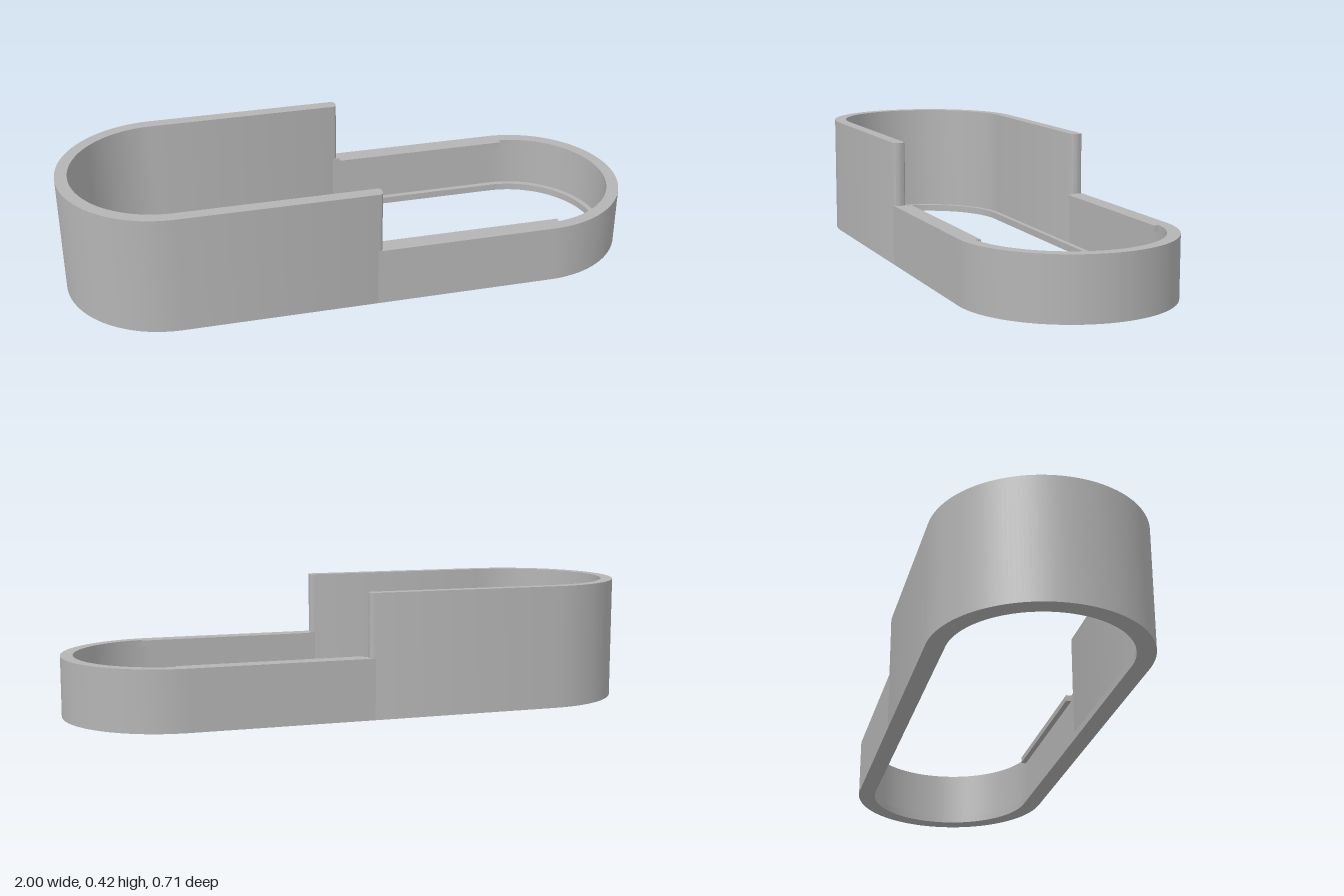
import * as THREE from 'three';
import { toCreasedNormals } from 'three/addons/utils/BufferGeometryUtils.js';

const CX = 0.644;      // centre of each rounded end
const OUTER = 0.356;   // outer radius
const WALL = 0.314;    // inner radius of the wall
const LIP = 0.295;     // inner radius of the ledge and rails
const HIGH = 0.424, LOW = 0.207;

// Extrude a plan shape upwards from y = 0, smooth round the bends
function raise(shape, height) {
  const geo = new THREE.ExtrudeGeometry(shape, { depth: height, bevelEnabled: false, curveSegments: 40 });
  geo.rotateX(-Math.PI / 2);
  return toCreasedNormals(geo, 0.5);
}

// U-shaped wall around the +x end, starting at x0, with tips rounded by c
function wallShape(x0, c) {
  const s = new THREE.Shape();
  s.moveTo(x0 + c, OUTER);
  s.lineTo(CX, OUTER);
  s.absarc(CX, 0, OUTER, Math.PI / 2, -Math.PI / 2, true);
  s.lineTo(x0 + c, -OUTER);
  if (c) s.absarc(x0 + c, -OUTER + c, c, -Math.PI / 2, -Math.PI, true);
  s.lineTo(x0, -WALL - c);
  if (c) s.absarc(x0 + c, -WALL - c, c, Math.PI, Math.PI / 2, true);
  s.lineTo(CX, -WALL);
  s.absarc(CX, 0, WALL, -Math.PI / 2, Math.PI / 2, false);
  s.lineTo(x0 + c, WALL);
  if (c) s.absarc(x0 + c, WALL + c, c, -Math.PI / 2, -Math.PI, true);
  s.lineTo(x0, OUTER - c);
  if (c) s.absarc(x0 + c, OUTER - c, c, Math.PI, Math.PI / 2, true);
  return s;
}

// Closed outline with two straight sides and two round ends
function stadium(path, r) {
  path.moveTo(-CX, -r);
  path.lineTo(CX, -r);
  path.absarc(CX, 0, r, -Math.PI / 2, Math.PI / 2, false);
  path.lineTo(-CX, r);
  path.absarc(-CX, 0, r, Math.PI / 2, Math.PI * 1.5, false);
  return path;
}

export function createModel() {
  const group = new THREE.Group();
  const grey = new THREE.MeshStandardMaterial({ color: 0xb4b4b4 });
  grey.name = 'grey';
  const add = (name, geo) => {
    const mesh = new THREE.Mesh(geo, grey);
    mesh.name = name;
    group.add(mesh);
    return mesh;
  };

  // Tall wall round the -x half, low wall round the +x half
  add('tallWall', raise(wallShape(-0.036, 0.014), HIGH)).rotation.y = Math.PI;
  add('lowWall', raise(wallShape(0.02, 0), LOW));

  // Narrow ledge inside the bottom edge
  const ring = stadium(new THREE.Shape(), WALL);
  ring.holes.push(stadium(new THREE.Path(), LIP));
  add('bottomLedge', raise(ring, 0.025));

  // Small rails inside the top of the low straight walls
  for (const side of [1, -1]) {
    const rail = add(side > 0 ? 'frontRail' : 'backRail', new THREE.BoxGeometry(0.63, 0.022, WALL - LIP));
    rail.position.set(0.361, LOW - 0.011, side * (WALL + LIP) / 2);
  }
  return group;
}
